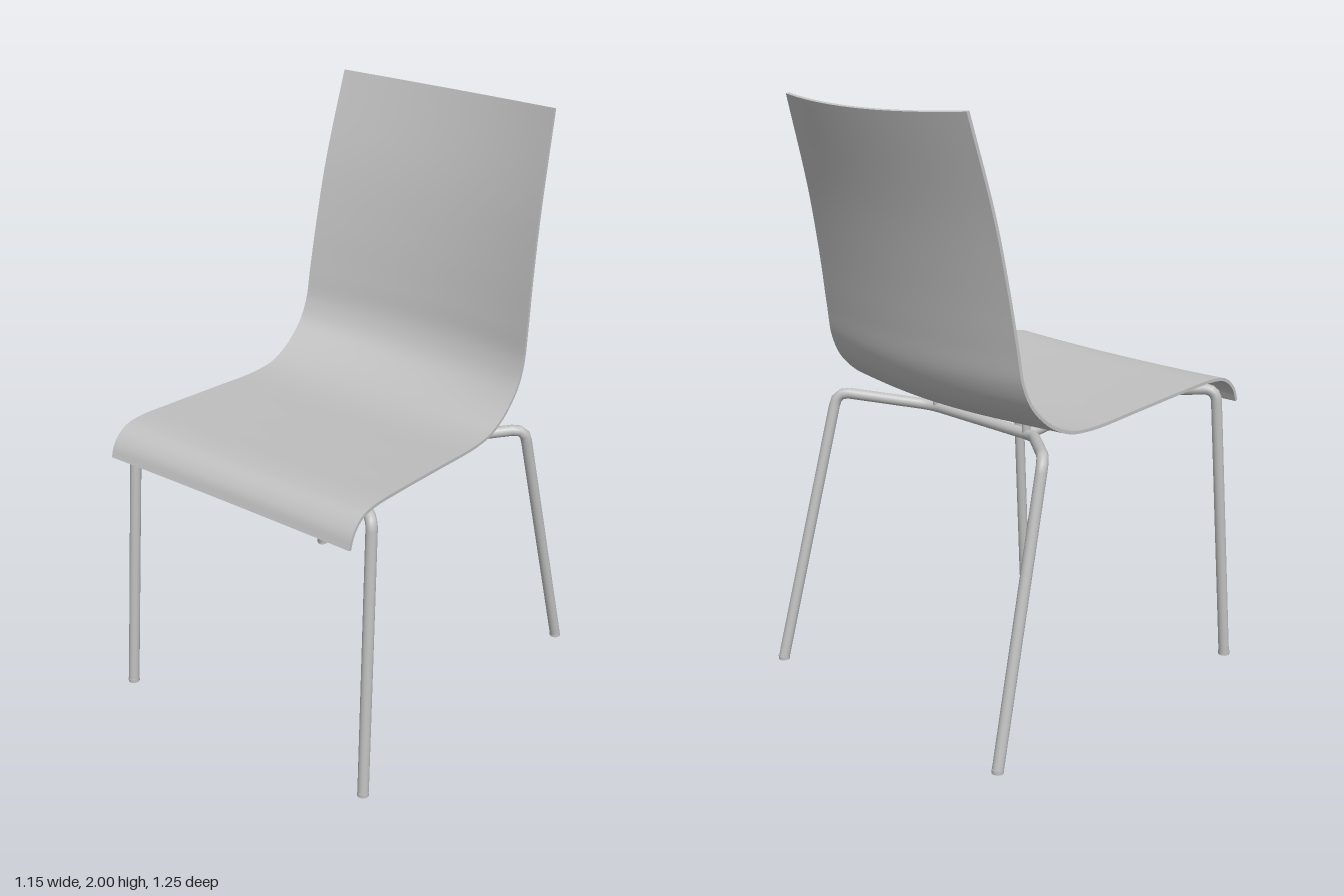
import * as THREE from 'three';
import { mergeGeometries } from 'three/addons/utils/BufferGeometryUtils.js';

const V = (x, y, z) => new THREE.Vector3(x, y, z);

// Smooth surface from a rule fn(a, b) -> Vector3, with a and b in 0..1
function grid(fn, na, nb, flip) {
  const pos = [], idx = [];
  for (let i = 0; i <= na; i++)
    for (let j = 0; j <= nb; j++) pos.push(...fn(i / na, j / nb).toArray());
  for (let i = 0; i < na; i++)
    for (let j = 0; j < nb; j++) {
      const a = i * (nb + 1) + j, d = a + 1, b = a + nb + 1, c = b + 1;
      if (flip) idx.push(a, c, b, a, d, c);
      else idx.push(a, b, c, a, c, d);
    }
  const g = new THREE.BufferGeometry();
  g.setAttribute('position', new THREE.Float32BufferAttribute(pos, 3));
  g.setIndex(idx);
  g.computeVertexNormals();
  return g;
}

// Bent plywood shell: half width, height and depth along the centre line, front lip to top of back
const profile = new THREE.CatmullRomCurve3([
  [0.49, 0.932, 0.615], [0.49, 0.975, 0.598], [0.489, 1.008, 0.56], [0.488, 1.018, 0.5],
  [0.484, 1.008, 0.35], [0.48, 0.988, 0.13], [0.476, 0.97, -0.09], [0.473, 0.98, -0.21],
  [0.471, 1.015, -0.315], [0.469, 1.075, -0.395], [0.466, 1.16, -0.44], [0.462, 1.28, -0.462],
  [0.454, 1.45, -0.49], [0.443, 1.68, -0.537], [0.425, 1.985, -0.622],
].map(p => V(...p)), false, 'centripetal');

function shellPoint(u, v, h) {
  const p = profile.getPoint(u), t = profile.getTangent(u);
  const n = V(0, -t.z, t.y).normalize();
  const s = v * 2 - 1;
  // the sides curl towards the sitter, more strongly in the back
  const curl = 0.008 + 0.047 * THREE.MathUtils.smoothstep(-p.z, 0.15, 0.46);
  return V(p.x * s, p.y, p.z).addScaledVector(n, curl * s * s + h * 0.011);
}

function shellGeometry() {
  const nu = 84, nv = 20;
  return mergeGeometries([
    grid((u, v) => shellPoint(u, v, 1), nu, nv, true),
    grid((u, v) => shellPoint(u, v, 0), nu, nv, false),
    grid((u, h) => shellPoint(u, 0, h), nu, 1, true),
    grid((u, h) => shellPoint(u, 1, h), nu, 1, false),
    grid((v, h) => shellPoint(0, v, h), nv, 1, false),
    grid((v, h) => shellPoint(1, v, h), nv, 1, true),
  ]);
}

// Steel tube through corner points, each corner rounded with a bend
function bentTube(points, radius, bend) {
  const path = new THREE.CurvePath();
  let from = points[0];
  for (let i = 1; i < points.length - 1; i++) {
    const p = points[i];
    const a = p.clone().add(points[i - 1].clone().sub(p).setLength(bend));
    const b = p.clone().add(points[i + 1].clone().sub(p).setLength(bend));
    path.add(new THREE.LineCurve3(from, a));
    path.add(new THREE.QuadraticBezierCurve3(a, p, b));
    from = b;
  }
  path.add(new THREE.LineCurve3(from, points[points.length - 1]));
  return new THREE.TubeGeometry(path, 120, radius, 14);
}

export function createModel() {
  const chair = new THREE.Group();
  chair.name = 'chair';
  const grey = new THREE.MeshStandardMaterial({ color: 0xc0c0c0, side: THREE.DoubleSide });
  grey.name = 'light grey';

  const add = (name, geometry, parent = chair) => {
    const m = new THREE.Mesh(geometry, grey);
    m.name = name;
    parent.add(m);
    return m;
  };

  add('seatShell', shellGeometry());

  const frame = new THREE.Group();
  frame.name = 'frame';
  chair.add(frame);
  const R = 0.019;

  // Rear legs and their cross bar are one continuous tube
  const rear = [V(0.555, 0.006, -0.578), V(0.508, 0.955, -0.34), V(0.25, 0.917, -0.125)];
  const mirror = p => V(-p.x, p.y, p.z);
  add('rearLegs', bentTube([...rear, ...rear.map(mirror).reverse()], R, 0.045), frame);

  // Front bar between the side rails
  const bar = add('frontCrossBar', new THREE.CylinderGeometry(0.012, 0.012, 0.44, 12), frame);
  bar.rotation.z = Math.PI / 2;
  bar.position.set(0, 0.972, 0.34);

  for (const s of [1, -1]) {
    const side = s > 0 ? 'left' : 'right';
    // Front leg bending inwards and back into the side rail
    add(side + 'FrontLeg', bentTube([
      V(s * 0.513, 0.006, 0.585), V(s * 0.488, 1.0, 0.515),
      V(s * 0.225, 0.974, 0.34), V(s * 0.22, 0.917, -0.125),
    ], R, 0.045), frame);

    // Rounded rail end at the rear bar
    add(side + 'RailEnd', new THREE.SphereGeometry(R, 14, 10), frame)
      .position.set(s * 0.22, 0.917, -0.125);

    // Spacers holding the shell
    for (const [name, y, z, h] of [['Front', 0.988, 0.33, 0.04], ['Rear', 0.945, -0.13, 0.056]])
      add(side + name + 'Spacer', new THREE.CylinderGeometry(0.014, 0.014, h, 12), frame)
        .position.set(s * 0.22, y, z);

    // Foot glides
    for (const [name, x, z] of [['Front', 0.513, 0.585], ['Rear', 0.555, -0.578]])
      add(side + name + 'Glide', new THREE.CylinderGeometry(0.02, 0.02, 0.014, 14), frame)
        .position.set(s * x, 0.007, z);
  }
  return chair;
}
